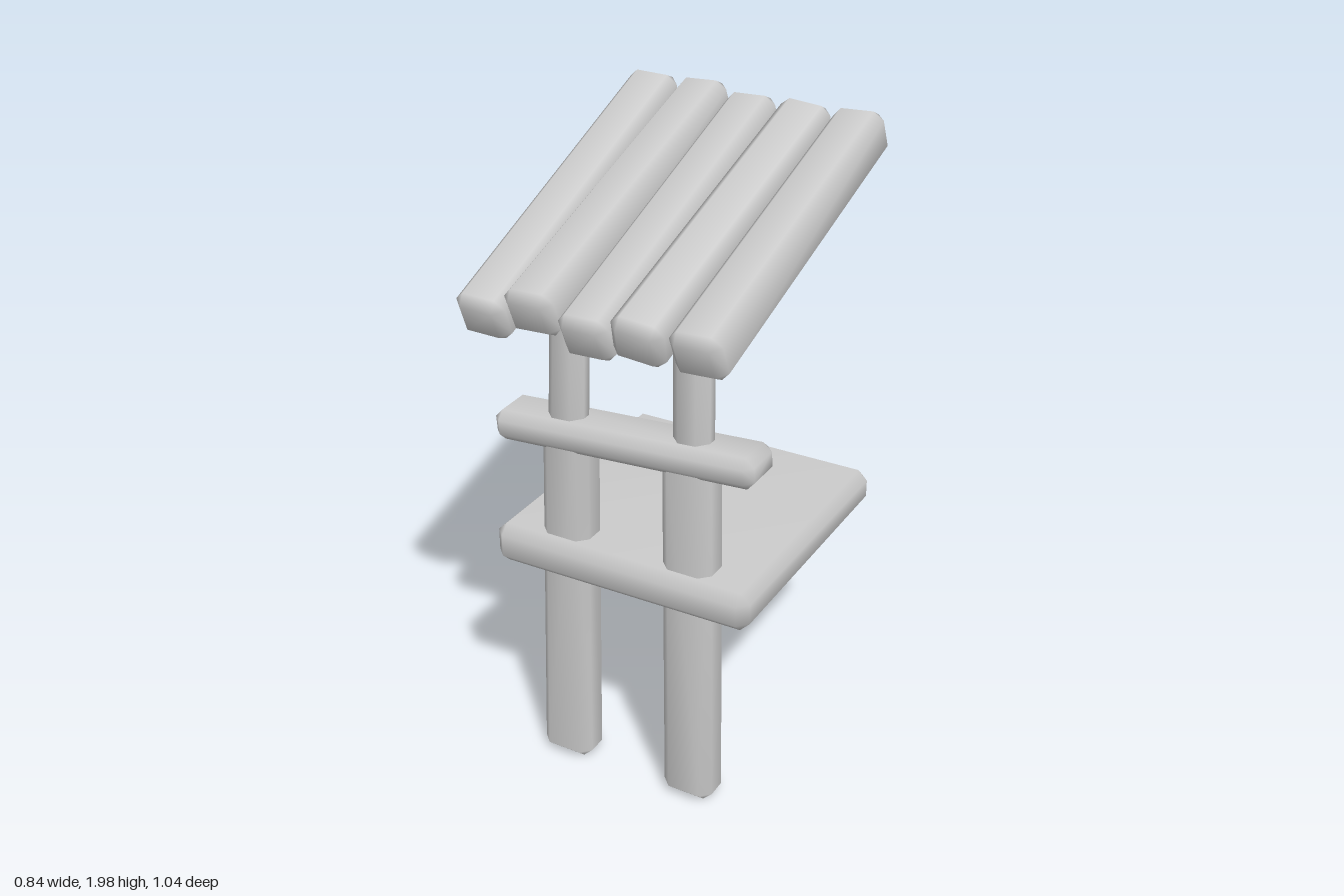
import * as THREE from 'three';
import { ConvexGeometry } from 'three/addons/geometries/ConvexGeometry.js';
import { mergeVertices } from 'three/addons/utils/BufferGeometryUtils.js';

const material = new THREE.MeshStandardMaterial({ color: 0xcccccc });

// Smooth-shaded box with chamfered edges; warp may move each corner point.
function board(name, [w, h, d], bevel, warp = () => {}) {
  const points = [];
  for (const sx of [-1, 1]) for (const sy of [-1, 1]) for (const sz of [-1, 1]) {
    for (let axis = 0; axis < 3; axis++) {
      const inset = [0, 1, 2].map((i) => (i === axis ? 0 : bevel));
      const p = new THREE.Vector3(
        sx * (w / 2 - inset[0]), sy * (h / 2 - inset[1]), sz * (d / 2 - inset[2]));
      warp(p);
      points.push(p);
    }
  }
  let geometry = new ConvexGeometry(points);
  geometry.deleteAttribute('normal');
  geometry = mergeVertices(geometry, 1e-4);
  geometry.computeVertexNormals();
  const mesh = new THREE.Mesh(geometry, material);
  mesh.name = name;
  return mesh;
}

// Upright post running from (x0, y0) to (x1, y1), narrowing from w0 to w1.
function post(name, x0, y0, w0, x1, y1, w1, depth) {
  const h = y1 - y0;
  const mesh = board(name, [1, h, depth], 0.03, (p) => {
    const t = p.y / h + 0.5;
    const w = THREE.MathUtils.lerp(w0, w1, t);
    const inset = Math.abs(p.x) < 0.49 ? 0.03 : 0;
    p.x = THREE.MathUtils.lerp(x0, x1, t) + Math.sign(p.x) * (w / 2 - inset);
  });
  mesh.position.set(0, (y0 + y1) / 2, 0.272);
  return mesh;
}

export function createModel() {
  const model = new THREE.Group();
  model.name = 'plankRoofStand';

  // Thick lower posts with thinner uprights above the rail
  model.add(
    post('lowerPostRight', -0.225, 0.01, 0.17, -0.195, 1.2, 0.15, 0.12),
    post('lowerPostLeft', 0.205, 0.01, 0.165, 0.197, 1.2, 0.155, 0.12),
    post('upperPostRight', -0.207, 1.1, 0.12, -0.183, 1.66, 0.112, 0.088),
    post('upperPostLeft', 0.203, 1.1, 0.115, 0.203, 1.66, 0.115, 0.088));

  // Slanted rail
  const rail = board('rail', [0.835, 0.094, 0.155], 0.025);
  rail.position.set(0, 1.178, 0.272);
  rail.rotation.z = 0.07;
  model.add(rail);

  // Slightly warped shelf
  const shelf = board('shelf', [0.84, 0.118, 0.86], 0.03, (p) => {
    p.y += 0.012 * p.x * (p.y < 0 ? 1 : 0.4);
    if (p.z > 0 && p.y > 0) p.y += 0.008;
  });
  shelf.position.set(0, 0.761, -0.06);
  model.add(shelf);

  // Sloping roof planks: x, y, z, length, slope and roll in degrees
  const planks = [
    [-0.338, 1.742, -0.004, 1.055, 21.2, -1],
    [-0.172, 1.768, -0.002, 1.055, 18, 4],
    [-0.01, 1.74, -0.003, 1.05, 19.4, 3],
    [0.153, 1.755, -0.003, 1.062, 17.2, -5],
    [0.327, 1.758, -0.002, 1.055, 17.6, 4],
  ];
  const roof = new THREE.Group();
  roof.name = 'roof';
  planks.forEach(([x, y, z, length, slope, roll], i) => {
    const plank = board(`roofPlank${i + 1}`, [0.157, 0.14, length], 0.028);
    plank.position.set(x, y, z);
    plank.rotation.set(THREE.MathUtils.degToRad(slope), 0, THREE.MathUtils.degToRad(roll));
    roof.add(plank);
  });
  model.add(roof);
  return model;
}
